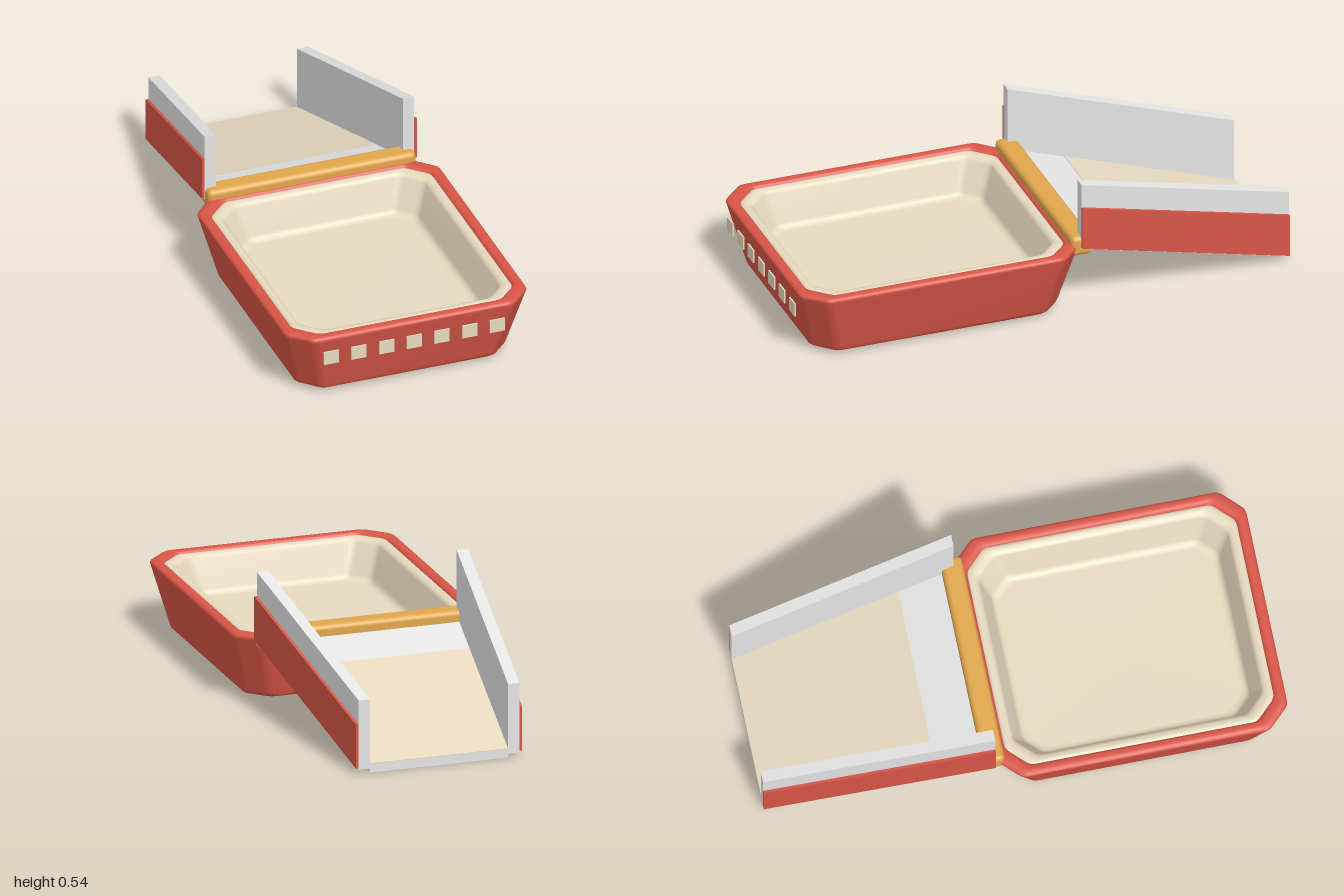
import * as THREE from 'three';
import { RoundedBoxGeometry } from 'three/addons/geometries/RoundedBoxGeometry.js';

const material = (name, color) => new THREE.MeshStandardMaterial({ name, color });

// Chamfered rectangle with softened corners, counterclockwise seen from above
function ring(hx, hz, c, r = 0.02) {
  const corners = [
    [hx, hz - c], [hx, c - hz], [hx - c, -hz], [c - hx, -hz],
    [-hx, c - hz], [-hx, hz - c], [c - hx, hz], [hx - c, hz],
  ].map(([x, z]) => new THREE.Vector2(x, z));
  const points = [];
  corners.forEach((p, i) => {
    const toward = (q) => p.clone().add(q.clone().sub(p).setLength(r));
    const curve = new THREE.QuadraticBezierCurve(
      toward(corners[(i + 7) % 8]), p, toward(corners[(i + 1) % 8]));
    points.push(...curve.getPoints(4));
  });
  return points;
}

// Skin through rings given as [inset, height, scale]
function loft(rows) {
  const pos = [], index = [];
  let n = 0;
  rows.forEach(([inset, y, s = 1]) => {
    const pts = ring(0.487 - inset, 0.561 - inset, 0.088 - inset * 0.15);
    n = pts.length;
    pts.forEach((p) => pos.push(p.x * s, y, p.y * s + 0.434));
  });
  for (let i = 0; i < rows.length - 1; i++) {
    for (let j = 0; j < n; j++) {
      const a = i * n + j, b = i * n + (j + 1) % n;
      index.push(a, b, b + n, a, b + n, a + n);
    }
  }
  const geo = new THREE.BufferGeometry();
  geo.setAttribute('position', new THREE.Float32BufferAttribute(pos, 3));
  geo.setIndex(index);
  geo.computeVertexNormals();
  return geo;
}

// Box that narrows and descends toward the back; sizes are those at the ramp's front
function rampSlab(x0, x1, y0, y1, start = 0) {
  const geo = new THREE.BoxGeometry(1, 1, 1);
  const p = geo.attributes.position;
  for (let i = 0; i < p.count; i++) {
    const t = p.getZ(i) > 0 ? start : 1;
    const x = p.getX(i) > 0 ? x1 : x0;
    const y = p.getY(i) > 0 ? y1 : y0;
    p.setXYZ(i, x - Math.sign(x) * 0.1 * t, y - 0.25 * t, -0.13 - 0.87 * t);
  }
  geo.computeVertexNormals();
  return geo;
}

export function createModel() {
  const model = new THREE.Group();
  model.name = 'trayWithRamp';
  const red = material('red', 0xd85546);
  const cream = material('cream', 0xe6d9bf);
  const grey = material('lightGrey', 0xe4e4e4);
  const ochre = material('ochre', 0xe0a64c);

  const add = (name, geo, mat, parent = model) => {
    const mesh = new THREE.Mesh(geo, mat);
    mesh.name = name;
    parent.add(mesh);
    return mesh;
  };

  // Tapered outer tub with rounded rim
  add('tubShell', loft([
    [0.085, 0.013, 0], [0.085, 0.013], [0.073, 0.015], [0.065, 0.022], [0.061, 0.034],
    [0.003, 0.256], [0, 0.266], [0.003, 0.273], [0.011, 0.278], [0.022, 0.279],
    [0.034, 0.278], [0.041, 0.274], [0.045, 0.266],
  ]), red);

  // Inner lining with a soft lip and a flat floor
  add('tubLining', loft([
    [0.043, 0.264], [0.047, 0.27], [0.056, 0.272], [0.068, 0.27], [0.078, 0.265], [0.085, 0.255],
    [0.122, 0.148], [0.128, 0.136], [0.138, 0.128], [0.154, 0.125], [0.154, 0.125, 0],
  ]), cream);

  // Row of square windows ahead of the front wall
  const windows = new THREE.Group();
  windows.name = 'windows';
  model.add(windows);
  for (let i = -3; i <= 3; i++) {
    add('window', new THREE.BoxGeometry(0.06, 0.054, 0.006), cream, windows)
      .position.set(i * 0.111, 0.191, 0.997);
  }

  // Hinge bar between tub and ramp
  add('hingeBar', new RoundedBoxGeometry(0.836, 0.082, 0.083, 4, 0.02), ochre)
    .position.set(0, 0.274, -0.134);

  // Sloping ramp with side walls and outer panels
  const ramp = new THREE.Group();
  ramp.name = 'ramp';
  model.add(ramp);
  add('rampFloor', rampSlab(-0.376, 0.376, 0.25, 0.285), grey, ramp);
  add('rampMat', rampSlab(-0.374, 0.374, 0.284, 0.287, 0.25), cream, ramp);
  for (const s of [-1, 1]) {
    const side = (near, far, y0, y1) =>
      rampSlab(Math.min(s * near, s * far), Math.max(s * near, s * far), y0, y1);
    add('rampWall', side(0.375, 0.42, 0.266, 0.54), grey, ramp);
    add('rampSidePanel', side(0.415, 0.431, 0.272, 0.445), red, ramp);
  }
  return model;
}
